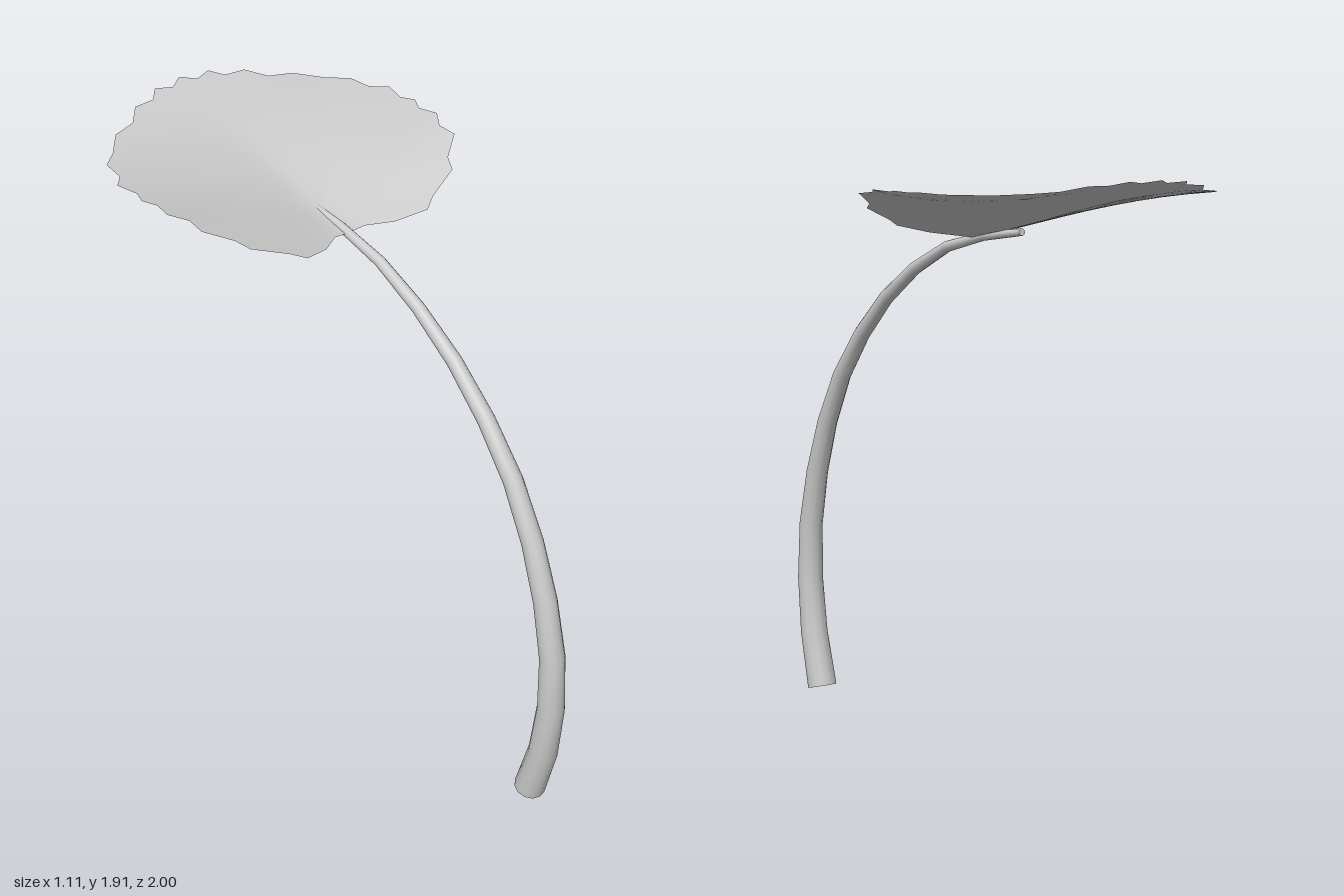
import * as THREE from 'three';

const grey = new THREE.MeshStandardMaterial({ color: 0xcccccc, side: THREE.DoubleSide });

// Stem centre line as [z, y], from the foot to the tip under the leaf
const STEM = [[0.877, 0.018], [0.93, 0.22], [0.952, 0.42], [0.943, 0.63], [0.895, 0.835], [0.825, 1.02],
  [0.725, 1.2], [0.59, 1.36], [0.43, 1.5], [0.26, 1.605], [0.07, 1.685], [-0.12, 1.723], [-0.33, 1.743]];

// Half of the toothed leaf edge as [x, z], from the notch to the point
const EDGE = [[0, -0.08], [0.06, -0.075], [0.14, -0.018], [0.243, 0.02], [0.29, -0.01], [0.407, -0.05], [0.43, -0.1],
  [0.51, -0.16], [0.505, -0.23], [0.545, -0.29], [0.53, -0.365], [0.555, -0.415], [0.535, -0.47], [0.555, -0.55],
  [0.51, -0.605], [0.5, -0.695], [0.44, -0.75], [0.365, -0.845], [0.28, -0.87], [0.225, -0.935], [0.15, -0.94],
  [0.11, -0.985], [0.05, -0.965], [0, -1]];

// Leaf height: a rising midrib valley with sides that lift most near the notch
function leafHeight(x, z) {
  const valley = 1.703 - 0.166 * z + 0.046 * z * z;
  const lift = 0.3 * THREE.MathUtils.clamp((z + 0.85) / 0.65, 0, 1);
  return valley + lift * (Math.hypot(x, 0.05) - 0.05);
}

function makeLeaf() {
  const mirrored = EDGE.slice(1, -1).reverse().map(([x, z]) => [-x, z]);
  const outline = [...EDGE, ...mirrored];
  const n = outline.length, rings = 8, cz = -0.27;
  const pos = [0, leafHeight(0, cz), cz], index = [];
  for (let r = 1; r <= rings; r++) {
    for (const [ex, ez] of outline) {
      const x = ex * r / rings, z = cz + (ez - cz) * r / rings;
      pos.push(x, leafHeight(x, z), z);
    }
  }
  for (let i = 0; i < n; i++) {
    const j = (i + 1) % n;
    index.push(0, 1 + i, 1 + j);
    for (let r = 0; r < rings - 1; r++) {
      const a = 1 + r * n + i, b = 1 + r * n + j;
      index.push(a, a + n, b + n, a, b + n, b);
    }
  }
  const geo = new THREE.BufferGeometry();
  geo.setAttribute('position', new THREE.Float32BufferAttribute(pos, 3));
  geo.setIndex(index);
  geo.computeVertexNormals();
  const leaf = new THREE.Mesh(geo, grey);
  leaf.name = 'leaf';
  return leaf;
}

function makeStem() {
  const stem = new THREE.Group();
  stem.name = 'stem';
  const curve = new THREE.CatmullRomCurve3(STEM.map(([z, y]) => new THREE.Vector3(0, y, z)));
  const segs = STEM.length - 1, sides = 12;
  const radius = (t) => THREE.MathUtils.lerp(0.053, 0.012, t);

  // Tapered tube: each ring of a unit tube is shrunk towards its centre
  const geo = new THREE.TubeGeometry(curve, segs, 1, sides, false);
  const p = geo.attributes.position, v = new THREE.Vector3();
  for (let i = 0; i < p.count; i++) {
    const t = Math.floor(i / (sides + 1)) / segs, c = curve.getPointAt(t);
    v.fromBufferAttribute(p, i).sub(c).multiplyScalar(radius(t)).add(c);
    p.setXYZ(i, v.x, v.y, v.z);
  }
  const stalk = new THREE.Mesh(geo, grey);
  stalk.name = 'stalk';
  stem.add(stalk);

  // End caps
  for (const [t, dir, name] of [[0, -1, 'footCap'], [1, 1, 'tipCap']]) {
    const cap = new THREE.Mesh(new THREE.CircleGeometry(radius(t), sides), grey);
    cap.position.copy(curve.getPointAt(t));
    cap.quaternion.setFromUnitVectors(new THREE.Vector3(0, 0, 1), curve.getTangentAt(t).multiplyScalar(dir));
    cap.name = name;
    stem.add(cap);
  }
  return stem;
}

export function createModel() {
  const group = new THREE.Group();
  group.name = 'leafOnStem';
  group.add(makeStem(), makeLeaf());
  return group;
}
